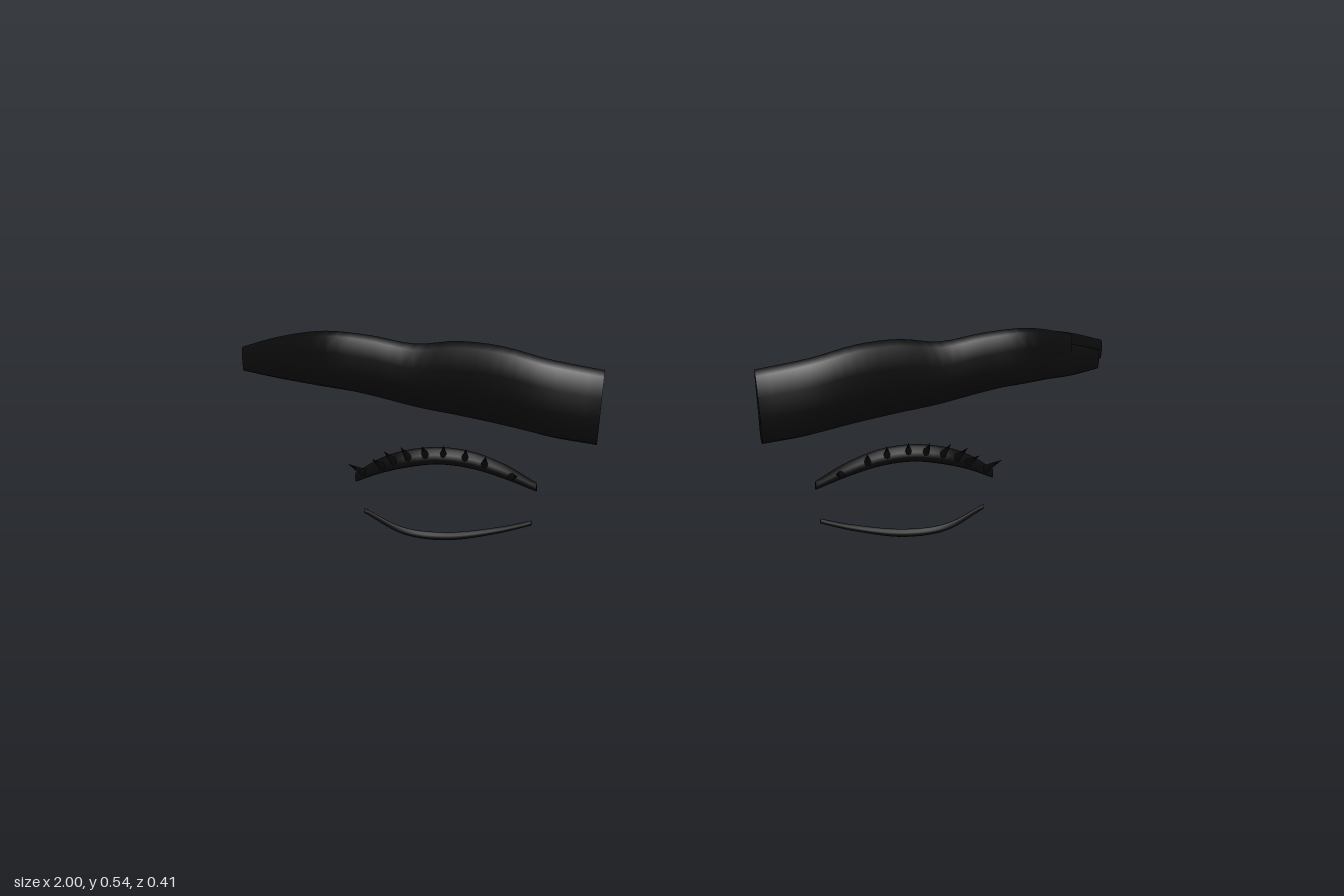
import * as THREE from 'three';

const black = new THREE.MeshStandardMaterial({ color: 0x0a0a0a });
black.name = 'black';

// Smooth closed surface through rings of points, with flat end caps; side = -1 mirrors it
function loft(rings, side, steps = 28) {
  const n = rings[0].length, pos = [], idx = [];
  const rails = rings[0].map((_, j) => new THREE.CatmullRomCurve3(rings.map(r => r[j])));
  const add = p => pos.push(p.x * side, p.y, p.z) / 3 - 1;
  const tri = (a, b, c) => (side > 0 ? idx.push(a, b, c) : idx.push(a, c, b));
  const at = i => rails.map(r => r.getPoint(i / steps));
  for (let i = 0; i <= steps; i++) at(i).forEach(add);
  for (let i = 0; i < steps; i++) for (let j = 0; j < n; j++) {
    const a = i * n + j, b = i * n + (j + 1) % n;
    tri(a, b, b + n);
    tri(a, b + n, a + n);
  }
  for (const end of [0, steps]) {
    const ring = at(end), mid = new THREE.Vector3();
    ring.forEach(p => mid.addScaledVector(p, 1 / n));
    const c = add(mid), ids = ring.map(add);
    ids.forEach((a, j) => {
      const b = ids[(j + 1) % n];
      if (end) tri(c, a, b); else tri(c, b, a);
    });
  }
  const g = new THREE.BufferGeometry();
  g.setAttribute('position', new THREE.Float32BufferAttribute(pos, 3));
  g.setIndex(idx);
  g.computeVertexNormals();
  return g;
}

// Brow cross-section: upright front, back sloping out to a low ledge
function browRing([x, top, bottom, front, back, crest], i) {
  const mix = THREE.MathUtils.lerp, w = front - back;
  return [
    [crest, 1], [mix(crest, front, 0.7), 0.93], [front, 0.66], [front - 0.03 * w, 0.38],
    [front - 0.16 * w, 0.06], [mix(front, back, 0.55), 0], [back + 0.1 * w, 0.01], [back, 0.09],
    [mix(back, crest, 0.3), 0.32], [mix(back, crest, 0.65), 0.66], [mix(back, crest, 0.85), 0.93],
  ].map(([z, t]) => new THREE.Vector3(x + (x < 0.2 ? 0.02 * (1 - t) : 0), mix(bottom, top, t), z));
}

// Eyelid cross-section: an ellipse
function lidRing([x, y, z, ry, rz]) {
  return Array.from({ length: 10 }, (_, k) => {
    const a = k / 10 * Math.PI * 2;
    return new THREE.Vector3(x, y + ry * Math.cos(a), z + rz * Math.sin(a));
  });
}

// x, top, bottom, front z, back z, crest z
const BROW = [
  [0.16, 0.47, 0.302, 0.2, 0.12, 0.17],
  [0.28, 0.495, 0.318, 0.2, 0.1, 0.17],
  [0.38, 0.52, 0.335, 0.175, 0.03, 0.15],
  [0.48, 0.525, 0.348, 0.138, -0.05, 0.11],
  [0.58, 0.512, 0.362, 0.1, -0.08, 0.065],
  [0.68, 0.528, 0.385, 0.073, -0.06, 0.045],
  [0.78, 0.535, 0.405, 0.045, -0.012, 0.025],
  [0.9, 0.51, 0.412, -0.03, -0.075, -0.05],
];
const TIP = [1, 0.475, 0.418, -0.11, -0.137, -0.122];
// The left brow ends in two prongs
const PRONGS = [
  [[0.8, 0.49, 0.41, 0.03, -0.01, 0.01], [0.9, 0.485, 0.412, -0.03, -0.055, -0.045], [0.985, 0.46, 0.415, -0.105, -0.128, -0.115]],
  [[0.8, 0.53, 0.42, 0.03, -0.02, 0.01], [0.9, 0.51, 0.425, -0.045, -0.08, -0.06], [1, 0.478, 0.433, -0.138, -0.162, -0.15]],
];
// x, y, z, half height, half depth
const UPPER_LID = [
  [0.33, 0.136, -0.12, 0.011, 0.009], [0.4, 0.175, -0.112, 0.018, 0.015], [0.48, 0.206, -0.108, 0.021, 0.019],
  [0.56, 0.217, -0.108, 0.021, 0.02], [0.64, 0.207, -0.115, 0.021, 0.018], [0.7, 0.185, -0.14, 0.018, 0.015],
  [0.765, 0.147, -0.185, 0.011, 0.009],
];
const LOWER_LID = [
  [0.345, 0.045, -0.132, 0.006, 0.006], [0.43, 0.024, -0.142, 0.008, 0.008], [0.55, 0.01, -0.146, 0.01, 0.009],
  [0.65, 0.022, -0.152, 0.009, 0.008], [0.75, 0.06, -0.2, 0.006, 0.006],
];
// Lash root and tip
const LASHES = [
  [0.39, 0.165, -0.11, 0.368, 0.182, -0.042], [0.45, 0.195, -0.1, 0.442, 0.227, -0.055],
  [0.495, 0.21, -0.1, 0.486, 0.247, -0.05], [0.545, 0.217, -0.1, 0.538, 0.253, -0.06],
  [0.585, 0.217, -0.1, 0.588, 0.253, -0.055], [0.625, 0.21, -0.105, 0.636, 0.252, -0.05],
  [0.66, 0.2, -0.115, 0.675, 0.242, -0.05], [0.69, 0.185, -0.13, 0.702, 0.225, -0.045],
  [0.74, 0.162, -0.165, 0.765, 0.203, -0.09],
];

function lash([x, y, z, tx, ty, tz], side) {
  const root = new THREE.Vector3(x * side, y, z), tip = new THREE.Vector3(tx * side, ty, tz);
  const dir = tip.clone().sub(root), len = dir.length();
  const g = new THREE.ConeGeometry(0.01, len, 8);
  g.applyQuaternion(new THREE.Quaternion().setFromUnitVectors(new THREE.Vector3(0, 1, 0), dir.normalize()));
  const mid = root.add(tip).multiplyScalar(0.5);
  return g.translate(mid.x, mid.y, mid.z);
}

export function createModel() {
  const model = new THREE.Group();
  model.name = 'eyebrowsAndLashes';
  for (const side of [1, -1]) {
    const half = new THREE.Group(), label = side > 0 ? 'left' : 'right';
    half.name = label + 'Side';
    const add = (geometry, name) => {
      const mesh = new THREE.Mesh(geometry, black);
      mesh.name = label + name;
      half.add(mesh);
    };
    const brow = side > 0 ? BROW : [...BROW, TIP];
    add(loft(brow.map(browRing), side), 'Brow');
    if (side > 0) PRONGS.forEach((p, i) => add(loft(p.map(browRing), side, 10), 'BrowProng' + (i + 1)));
    add(loft(UPPER_LID.map(lidRing), side), 'UpperLid');
    add(loft(LOWER_LID.map(lidRing), side), 'LowerLid');
    LASHES.forEach((l, i) => add(lash(l, side), 'Lash' + (i + 1)));
    model.add(half);
  }
  return model;
}
